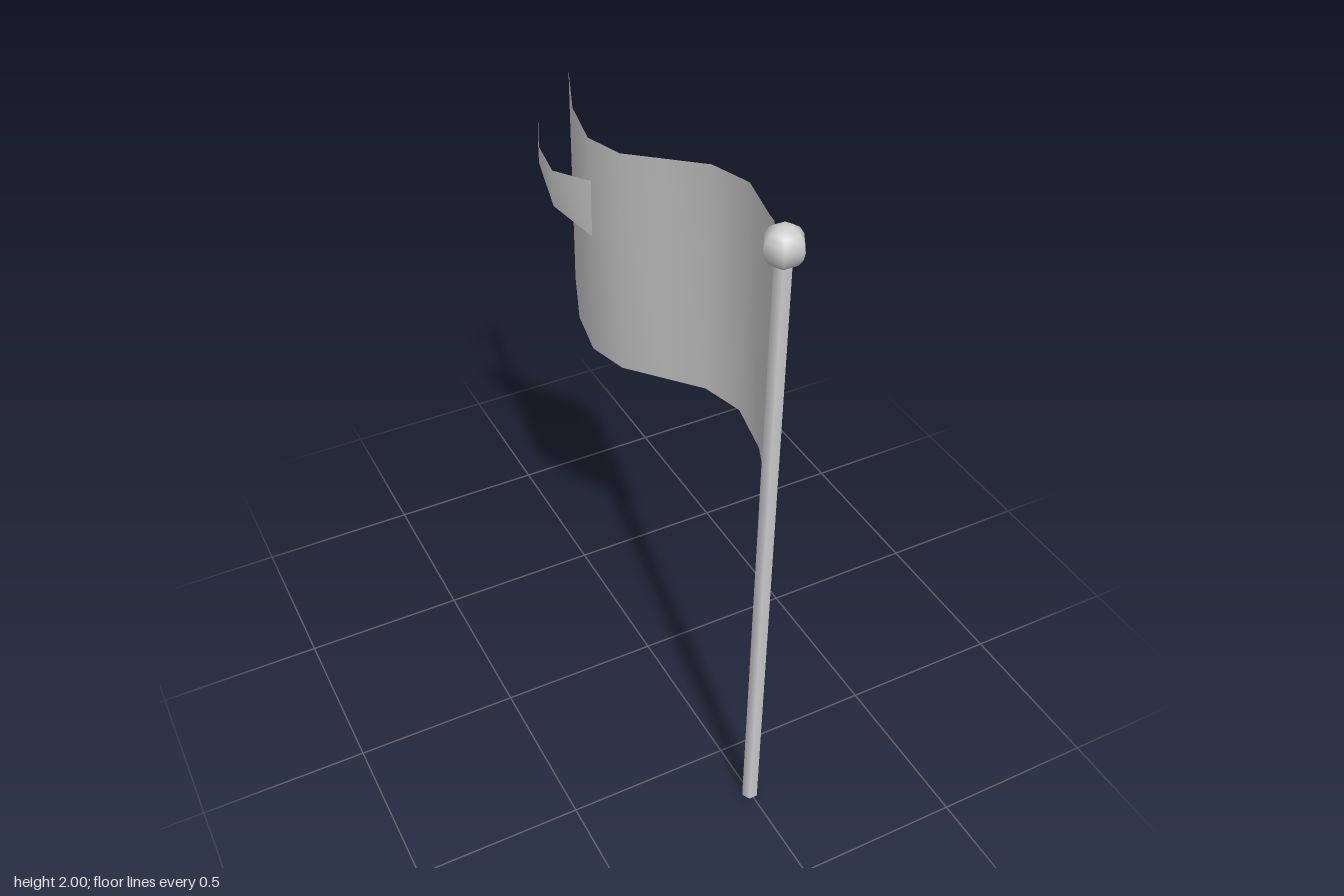
import * as THREE from 'three';

const POLE_Z = 0.68;
const grey = new THREE.MeshStandardMaterial({ color: 0xcccccc });
const cloth = new THREE.MeshStandardMaterial({ color: 0xcccccc, side: THREE.DoubleSide });

// Sheet of cloth trailing from the pole along one full sine wave;
// taper 0 keeps it rectangular, taper 1 brings it to a point.
function wavingCloth(name, { length, halfHeight, midY, sway, lift, taper }) {
  const geo = new THREE.PlaneGeometry(1, 2, 8, 1);
  const pos = geo.attributes.position;
  for (let i = 0; i < pos.count; i++) {
    const t = pos.getX(i) + 0.5;
    const wave = Math.sin(t * Math.PI * 2);
    const y = midY + lift * wave + pos.getY(i) * halfHeight * (1 - taper * t);
    pos.setXYZ(i, sway * wave, y, POLE_Z - t * length);
  }
  geo.computeVertexNormals();
  const mesh = new THREE.Mesh(geo, cloth);
  mesh.name = name;
  return mesh;
}

export function createModel() {
  const group = new THREE.Group();
  group.name = 'flag';

  // Six-sided pole, corners on the x axis
  const pole = new THREE.Mesh(new THREE.CylinderGeometry(0.025, 0.025, 1.93, 6), grey);
  pole.name = 'pole';
  pole.rotation.y = Math.PI / 6;
  pole.position.set(0, 0.965, POLE_Z);

  // Knob on top
  const knob = new THREE.Mesh(new THREE.SphereGeometry(0.056, 6, 8), grey);
  knob.name = 'knob';
  knob.position.set(0, 1.944, POLE_Z);

  // Rectangular banner, with a longer pennant weaving through it
  group.add(
    pole,
    knob,
    wavingCloth('banner', { length: 1.175, halfHeight: 0.35, midY: 1.533, sway: 0.08, lift: 0.058, taper: 0 }),
    wavingCloth('pennant', { length: 1.405, halfHeight: 0.233, midY: 1.65, sway: 0.115, lift: 0.06, taper: 1 })
  );
  return group;
}
